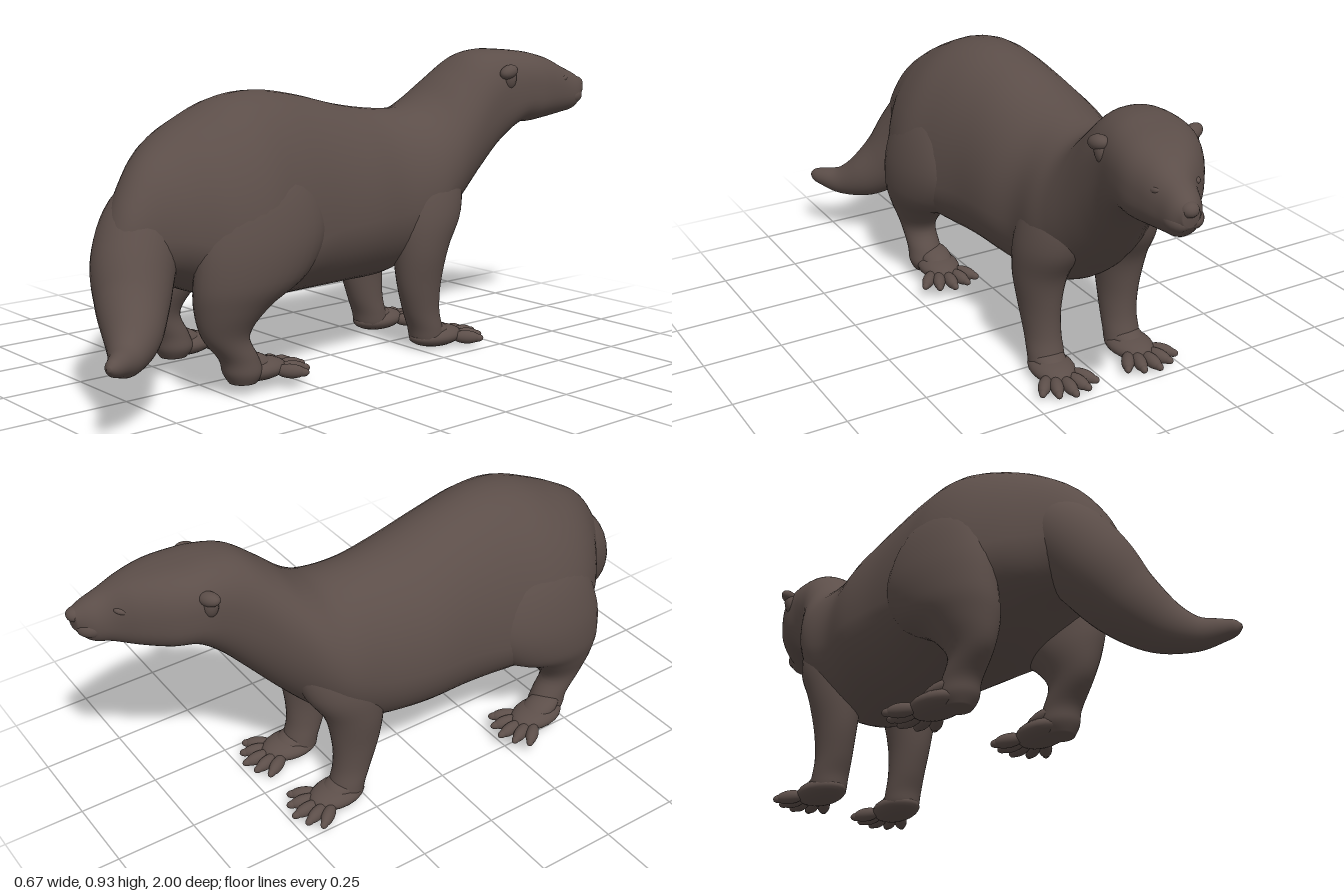
import * as THREE from 'three';

const fur = new THREE.MeshStandardMaterial({ color: 0x5c4e49 });
fur.name = 'brown fur';

// Smooth interpolation between rows of numbers
function sample(rows, t) {
  const n = rows.length - 1;
  const i = Math.min(Math.floor(t * n), n - 1), f = t * n - i;
  const at = (k) => rows[Math.max(0, Math.min(n, k))];
  return rows[0].map((_, c) => {
    const [a, b, d, e] = [at(i - 1)[c], at(i)[c], at(i + 1)[c], at(i + 2)[c]];
    return b + 0.5 * f * (d - a + f * (2 * a - 5 * b + 4 * d - e + f * (3 * (b - d) + e - a)));
  });
}

// Closed skin through rings; ring(row, angle, t) gives a point
function loft(name, rows, ring, steps = 48, sides = 32) {
  const pos = [], idx = [];
  for (let j = 0; j <= steps; j++) {
    const row = sample(rows, j / steps);
    for (let i = 0; i < sides; i++) pos.push(...ring(row, (i / sides) * Math.PI * 2, j / steps));
  }
  for (let j = 0; j < steps; j++) for (let i = 0; i < sides; i++) {
    const a = j * sides + i, b = j * sides + ((i + 1) % sides);
    idx.push(a, b, a + sides, b, b + sides, a + sides);
  }
  // end caps
  for (const j of [0, steps]) {
    const c = [0, 0, 0], hub = pos.length / 3;
    for (let i = 0; i < sides; i++) for (let k = 0; k < 3; k++) c[k] += pos[(j * sides + i) * 3 + k] / sides;
    pos.push(...c);
    for (let i = 0; i < sides; i++) {
      const a = j * sides + i, b = j * sides + ((i + 1) % sides);
      if (j) idx.push(hub, a, b); else idx.push(hub, b, a);
    }
  }
  // turn the skin outward if its signed volume is negative
  let vol = 0;
  const p = (k) => new THREE.Vector3().fromArray(pos, idx[k] * 3);
  for (let k = 0; k < idx.length; k += 3) vol += p(k).dot(p(k + 1).cross(p(k + 2)));
  if (vol < 0) idx.reverse();
  const g = new THREE.BufferGeometry();
  g.setAttribute('position', new THREE.Float32BufferAttribute(pos, 3));
  g.setIndex(idx);
  g.computeVertexNormals();
  const m = new THREE.Mesh(g, fur);
  m.name = name;
  return m;
}

const ball = new THREE.SphereGeometry(1, 20, 14);
function blob(name, pos, size, rot = [0, 0, 0]) {
  const m = new THREE.Mesh(ball, fur);
  m.name = name;
  m.position.set(...pos);
  m.scale.set(...size);
  m.rotation.set(...rot, 'YXZ');
  return m;
}

// Foot with five spread toes pointing to -z
function foot(name, x, y, z, turn) {
  const g = new THREE.Group();
  g.name = name;
  g.position.set(x, y, z);
  g.rotation.y = turn;
  g.add(blob('pad', [0, 0.035, -0.055], [0.066, 0.034, 0.095]));
  g.add(blob('instep', [0, 0.055, -0.04], [0.05, 0.032, 0.075], [-0.3, 0, 0]));
  for (let i = -2; i <= 2; i++) {
    const a = i * 0.31, dx = Math.sin(a), dz = -Math.cos(a);
    const r = 0.122 - Math.abs(i) * 0.007;
    g.add(blob('toe', [dx * r, 0.028, -0.045 + dz * r], [0.02, 0.021, 0.045], [-0.05, -a, 0]));
    g.add(blob('toeTip', [dx * (r + 0.035), 0.025, -0.045 + dz * (r + 0.035)], [0.012, 0.013, 0.02], [0, -a, 0]));
  }
  return g;
}

export function createModel() {
  const model = new THREE.Group();
  model.name = 'animal';

  // Trunk, neck and head: z, top, bottom, x min, x max, height ratio of widest point
  const trunk = [
    [0.82, 0.49, 0.42, 0.0, 0.08, 0.5],
    [0.78, 0.575, 0.38, -0.045, 0.11, 0.45],
    [0.71, 0.668, 0.35, -0.115, 0.135, 0.4],
    [0.62, 0.735, 0.32, -0.215, 0.18, 0.35],
    [0.52, 0.787, 0.28, -0.285, 0.235, 0.3],
    [0.40, 0.835, 0.245, -0.31, 0.258, 0.27],
    [0.27, 0.848, 0.235, -0.292, 0.232, 0.3],
    [0.12, 0.825, 0.23, -0.28, 0.205, 0.36],
    [-0.04, 0.785, 0.23, -0.28, 0.195, 0.4],
    [-0.18, 0.762, 0.235, -0.252, 0.178, 0.42],
    [-0.30, 0.757, 0.28, -0.245, 0.19, 0.46],
    [-0.38, 0.79, 0.35, -0.22, 0.18, 0.48],
    [-0.46, 0.855, 0.43, -0.17, 0.168, 0.5],
    [-0.54, 0.913, 0.52, -0.128, 0.162, 0.53],
    [-0.62, 0.929, 0.61, -0.108, 0.163, 0.54],
    [-0.70, 0.925, 0.677, -0.1, 0.176, 0.46],
    [-0.77, 0.916, 0.686, -0.072, 0.183, 0.43],
    [-0.84, 0.896, 0.696, -0.02, 0.177, 0.43],
    [-0.90, 0.865, 0.708, 0.038, 0.17, 0.43],
    [-0.95, 0.842, 0.72, 0.065, 0.166, 0.46],
    [-0.985, 0.82, 0.76, 0.098, 0.15, 0.5],
  ];
  model.add(loft('bodyAndHead', trunk, ([z, top, bot, x0, x1, w], a) => {
    const mid = bot + (top - bot) * w;
    // the skull is squarer in section than the rest
    const q = 1 - 0.24 * Math.exp(-(((z + 0.71) / 0.2) ** 2));
    const [c, s] = [Math.cos(a), Math.sin(a)].map((v) => Math.sign(v) * Math.abs(v) ** q);
    return [(x0 + x1) / 2 + ((x1 - x0) / 2) * c, mid + s * (s > 0 ? top - mid : mid - bot), z];
  }, 110, 48));

  // Tail: x, y, z, radius, swept square to its path
  const tail = [
    [-0.02, 0.60, 0.56, 0.09], [0.0, 0.51, 0.67, 0.118], [0.04, 0.405, 0.74, 0.12],
    [0.10, 0.31, 0.785, 0.104], [0.175, 0.24, 0.835, 0.08], [0.24, 0.206, 0.895, 0.051],
    [0.288, 0.207, 0.95, 0.033], [0.31, 0.21, 0.982, 0.022], [0.318, 0.211, 0.998, 0.006],
  ];
  const path = (t) => new THREE.Vector3(...sample(tail, t));
  model.add(loft('tail', tail, ([x, y, z, r], a, t) => {
    const dir = path(Math.min(1, t + 0.01)).sub(path(Math.max(0, t - 0.01))).normalize();
    const u = new THREE.Vector3(0, 1, 1).cross(dir).normalize(), v = dir.clone().cross(u);
    return [x, y, z].map((c, k) => c + r * (Math.cos(a) * u.getComponent(k) + Math.sin(a) * v.getComponent(k)));
  }));

  // Legs: sideways offset, y, z, x radius, z radius
  const fore = [
    [0.08, 0.66, -0.32, 0.03, 0.05], [0.10, 0.56, -0.315, 0.085, 0.125], [0.122, 0.44, -0.295, 0.098, 0.13],
    [0.138, 0.33, -0.265, 0.08, 0.096], [0.138, 0.22, -0.26, 0.062, 0.077], [0.135, 0.13, -0.272, 0.055, 0.062],
    [0.135, 0.07, -0.29, 0.056, 0.056], [0.135, 0.03, -0.30, 0.054, 0.056], [0.135, 0.012, -0.30, 0.036, 0.036],
  ];
  const hind = [
    [0.12, 0.74, 0.36, 0.03, 0.06], [0.175, 0.6, 0.375, 0.075, 0.17], [0.192, 0.46, 0.385, 0.102, 0.215],
    [0.19, 0.34, 0.425, 0.104, 0.19], [0.18, 0.26, 0.485, 0.084, 0.122], [0.175, 0.18, 0.507, 0.056, 0.075],
    [0.175, 0.11, 0.465, 0.053, 0.06], [0.175, 0.065, 0.45, 0.055, 0.06], [0.177, 0.035, 0.45, 0.04, 0.042],
  ];
  for (const s of [1, -1]) {
    const side = s > 0 ? 'right' : 'left';
    const leg = (mid) => ([x, y, z, rx, rz], a) => [mid + s * x + rx * Math.cos(a), y, z + rz * Math.sin(a)];
    model.add(loft(side + 'ForeLeg', fore, leg(-0.015), 40));
    model.add(loft(side + 'HindLeg', hind, leg(-0.03), 40));
    model.add(foot(side + 'ForeFoot', -0.015 + s * 0.135, 0, -0.278, -s * 0.06));
    model.add(foot(side + 'HindFoot', -0.05 + s * 0.175, 0.026, 0.445, -s * 0.1));
  }

  // Face: swept-back ears, low eyes, lips and nose on the turned head
  model.add(blob('leftEar', [-0.098, 0.862, -0.68], [0.036, 0.021, 0.022], [0, 0.4, -0.15]));
  model.add(blob('leftEarBase', [-0.094, 0.835, -0.675], [0.022, 0.038, 0.022], [0, 0, 0.2]));
  model.add(blob('rightEar', [0.157, 0.862, -0.615], [0.024, 0.022, 0.036], [0.25, 0.1, 0.2]));
  model.add(blob('rightEarBase', [0.154, 0.838, -0.625], [0.019, 0.034, 0.022], [0, 0, -0.15]));
  model.add(blob('leftEye', [0.035, 0.826, -0.875], [0.014, 0.01, 0.024], [0.2, -0.6, 0]));
  model.add(blob('rightEye', [0.156, 0.826, -0.875], [0.012, 0.01, 0.022], [0.2, 0.1, 0]));
  model.add(blob('leftLip', [0.095, 0.766, -0.94], [0.034, 0.03, 0.045], [0, -0.3, 0]));
  model.add(blob('rightLip', [0.138, 0.766, -0.94], [0.031, 0.03, 0.045], [0, 0.1, 0]));
  model.add(blob('nose', [0.124, 0.805, -0.975], [0.025, 0.021, 0.025]));
  return model;
}
